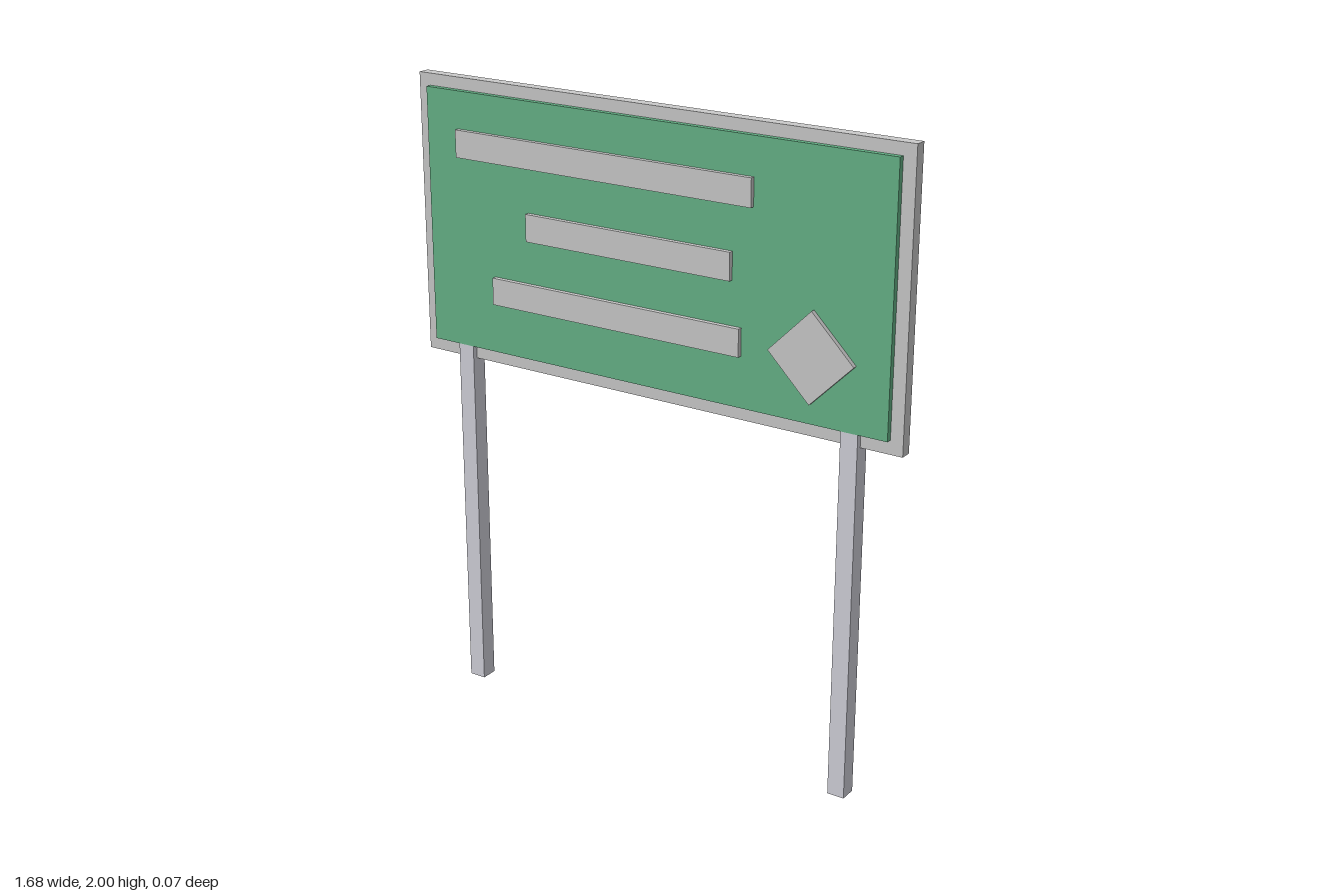
import * as THREE from 'three';

const grey = new THREE.MeshStandardMaterial({ color: 0xcccccc });
const green = new THREE.MeshStandardMaterial({ color: 0x66b488 });
const steel = new THREE.MeshStandardMaterial({ color: 0xd2d2db });

// Box given by its extents along each axis
function slab(name, [x0, x1], [y0, y1], [z0, z1], material) {
  const mesh = new THREE.Mesh(new THREE.BoxGeometry(x1 - x0, y1 - y0, z1 - z0), material);
  mesh.name = name;
  mesh.position.set((x0 + x1) / 2, (y0 + y1) / 2, (z0 + z1) / 2);
  return mesh;
}

export function createModel() {
  const model = new THREE.Group();
  model.name = 'roadSign';

  // Backing board, whose rim frames the green face
  model.add(slab('backingBoard', [-0.84, 0.84], [1.12, 2], [-0.035, 0.002], grey));
  model.add(slab('signFace', [-0.8, 0.8], [1.163, 1.963], [0.002, 0.02], green));

  // Square posts, held just inside the board's back and the face's front
  for (const [name, x] of [['leftPost', 0.68], ['rightPost', -0.68]]) {
    model.add(slab(name, [x - 0.0275, x + 0.0275], [0, 1.845], [-0.0345, 0.0195], steel));
  }

  // Raised blank bars
  const bars = [
    ['topBar', -0.683, 0.357, 1.805],
    ['middleBar', -0.425, 0.291, 1.583],
    ['bottomBar', -0.556, 0.324, 1.363],
  ];
  for (const [name, x0, x1, y] of bars) {
    model.add(slab(name, [x0, x1], [y - 0.0425, y + 0.0425], [0.018, 0.035], grey));
  }

  // Diamond marker
  const diamond = slab('diamondMarker', [0.46, 0.655], [1.2655, 1.4605], [0.018, 0.035], grey);
  diamond.rotation.z = Math.PI / 4;
  model.add(diamond);

  return model;
}
